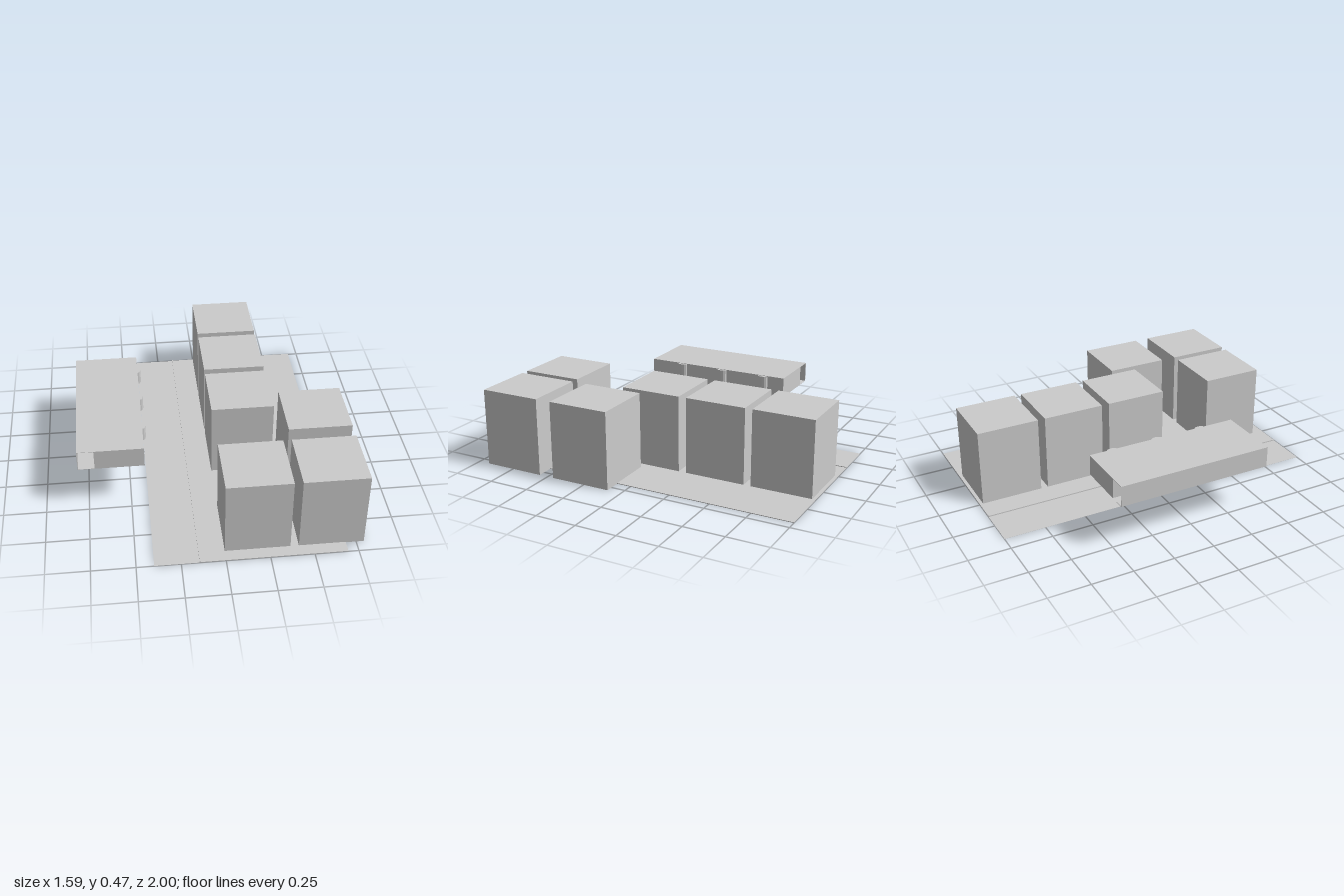
import * as THREE from 'three';

const material = new THREE.MeshStandardMaterial({ color: 0xcccccc, flatShading: true });

// Adds a box given by its limits on each axis
function addBox(parent, name, [x0, x1], [y0, y1], [z0, z1]) {
  const mesh = new THREE.Mesh(new THREE.BoxGeometry(x1 - x0, y1 - y0, z1 - z0), material);
  mesh.position.set((x0 + x1) / 2, (y0 + y1) / 2, (z0 + z1) / 2);
  mesh.name = name;
  parent.add(mesh);
  return mesh;
}

// Ground with a raised pavement and a kerb along the road
function createGround() {
  const group = new THREE.Group();
  group.name = 'ground';
  addBox(group, 'road', [-0.4, 0.69], [0, 0.001], [-1, 1]);
  addBox(group, 'pavement', [-0.14, 0.69], [0.0005, 0.004], [-1, 1]);
  addBox(group, 'kerb', [-0.148, -0.14], [0.0005, 0.008], [-1, 1]);
  return group;
}

// Two rows of plain square blocks
function createBuildings() {
  const group = new THREE.Group();
  group.name = 'buildings';
  const size = 0.373;
  const rows = [
    { x: 0, starts: [-0.98, -0.563, -0.143, 0.555] },
    { x: 0.421, starts: [0.088, 0.555] },
  ];
  for (const { x, starts } of rows) {
    for (const z of starts) {
      addBox(group, 'building', [x, x + size], [0.0005, 0.469], [z, z + size]);
    }
  }
  return group;
}

// Rounded bay window bulging towards +x
function createBayWindow(z) {
  const geometry = new THREE.CylinderGeometry(1, 1, 0.085, 6, 1, false, 0, Math.PI);
  geometry.scale(0.02, 1, 0.033);
  const bay = new THREE.Mesh(geometry, material);
  bay.position.set(-0.412, 0.36, z);
  bay.name = 'bayWindow';
  return bay;
}

// Raised long room with an open corridor along its outer side
function createRaisedRoom() {
  const group = new THREE.Group();
  group.name = 'raisedRoom';
  const length = [-0.47, 0.467];
  const [bottom, top, skin] = [0.28, 0.405, 0.002];
  addBox(group, 'room', [-0.7, -0.412], [bottom + skin / 2, top - skin / 2], length);
  addBox(group, 'floor', [-0.798, -0.412], [bottom, bottom + skin], length);
  addBox(group, 'roof', [-0.798, -0.412], [top - skin, top], length);
  addBox(group, 'corridorWall', [-0.798, -0.795], [bottom, top], length);
  for (const z of [-0.328, -0.04, 0.248]) group.add(createBayWindow(z));

  // Door knob on the corridor side
  const knob = new THREE.Mesh(new THREE.SphereGeometry(0.004, 8, 6), material);
  knob.position.set(-0.701, 0.338, 0);
  knob.name = 'doorKnob';
  group.add(knob);
  return group;
}

export function createModel() {
  const model = new THREE.Group();
  model.name = 'cityBlock';
  model.add(createGround(), createBuildings(), createRaisedRoom());
  return model;
}
